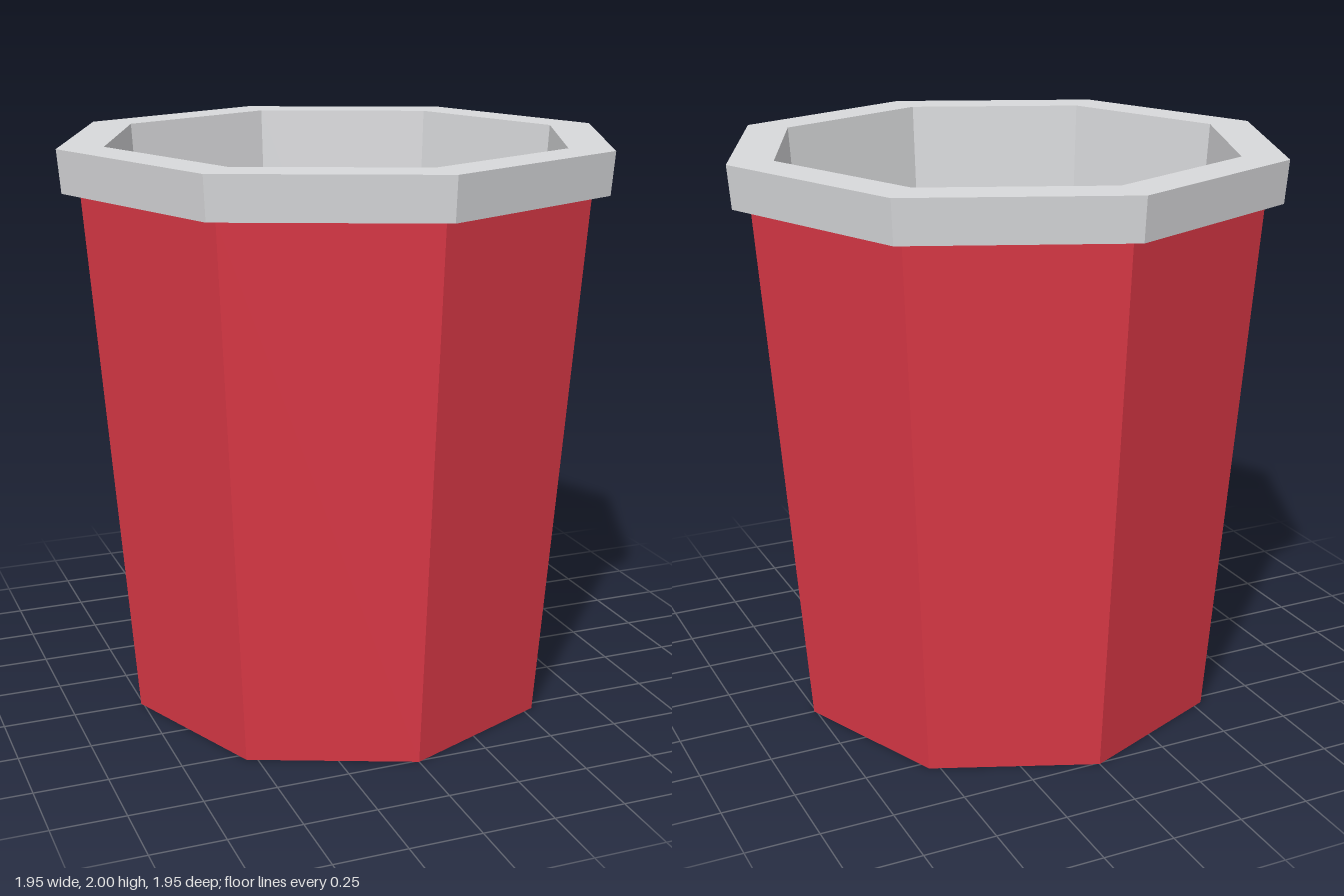
import * as THREE from 'three';

const SIDES = 8;

export function createModel() {
  const red = new THREE.MeshStandardMaterial({ color: 0xdb3846 });
  red.name = 'red';
  red.flatShading = true;
  const grey = new THREE.MeshStandardMaterial({ color: 0xd8d9db });
  grey.name = 'light grey';
  grey.flatShading = true;

  const group = new THREE.Group();
  group.name = 'cup';

  // Turns a profile of [radius, height] points into an eight-sided faceted part
  function addTurned(name, profile, material) {
    const points = profile.map(([r, y]) => new THREE.Vector2(r, y));
    const geometry = new THREE.LatheGeometry(points, SIDES).toNonIndexed();
    geometry.computeVertexNormals();
    const mesh = new THREE.Mesh(geometry, material);
    mesh.name = name;
    group.add(mesh);
  }

  // Tapered outer wall with its closed base
  addTurned('outerWall', [[0, 0], [0.758, 0], [0.9, 1.855]], red);

  // Overhanging rim: underside, slanted edge and flat top
  addTurned('rim', [[0.9, 1.855], [0.961, 1.855], [0.973, 2], [0.815, 2]], grey);

  // Hollow inside: tapered wall and floor
  addTurned('innerWall', [[0.815, 2], [0.71, 0.4], [0, 0.4]], grey);

  return group;
}
